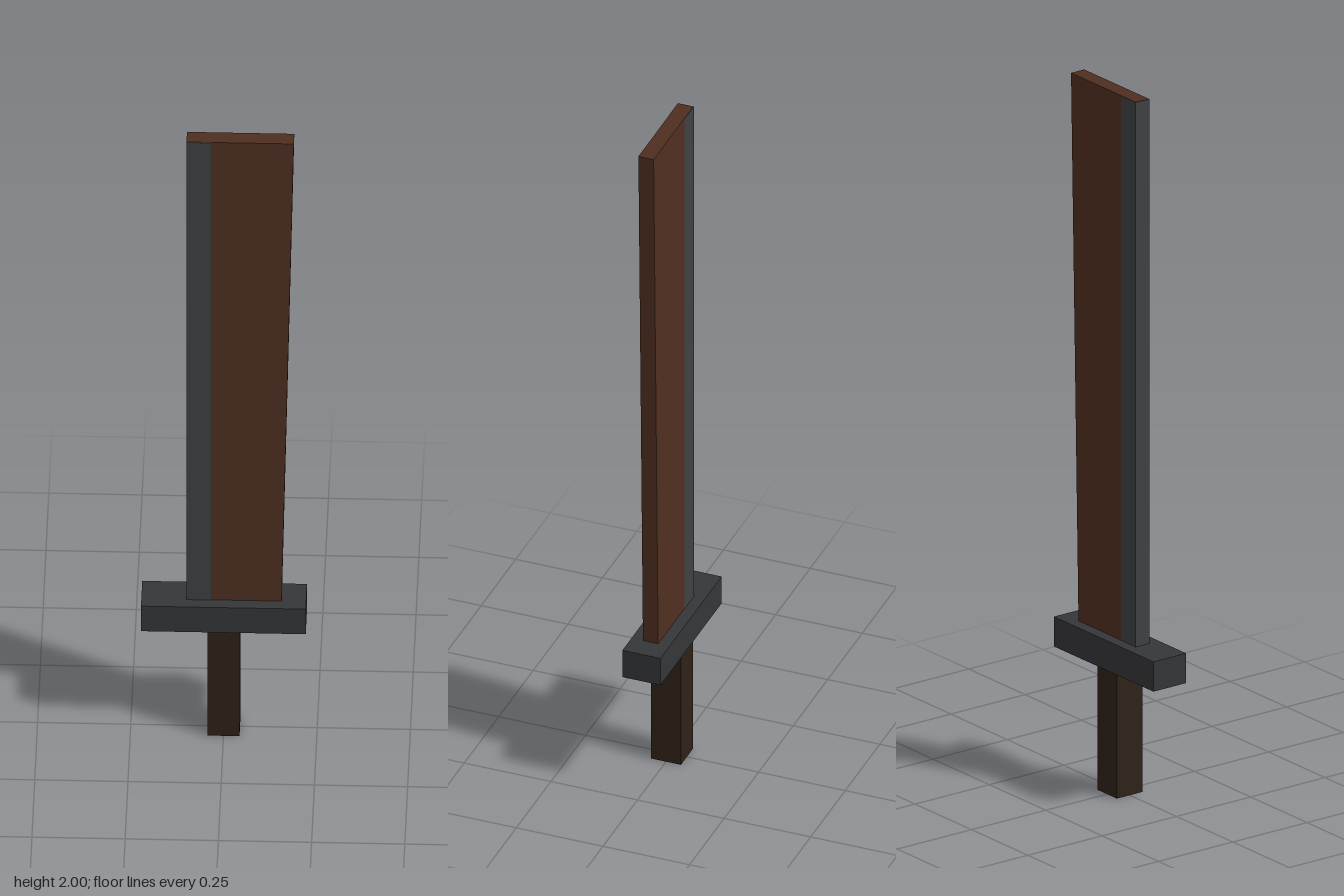
import * as THREE from 'three';

const material = (color) => new THREE.MeshStandardMaterial({ color, flatShading: true });

export function createModel() {
  const group = new THREE.Group();
  const add = (name, geometry, mat, x = 0, y = 0, z = 0) => {
    const mesh = new THREE.Mesh(geometry, mat);
    mesh.name = name;
    mesh.position.set(x, y, z);
    group.add(mesh);
  };
  const wood = material(0x4f2f20);
  const steel = material(0x3f4143);
  const darkSteel = material(0x353638);
  const gripWood = material(0x2e2218);

  // square grip and crossguard
  add('grip', new THREE.BoxGeometry(0.086, 0.36, 0.086), gripWood, 0, 0.18, 0);
  add('crossguard', new THREE.BoxGeometry(0.442, 0.085, 0.11), darkSteel, 0, 0.4025, 0);

  // flat blade, widening along its spine toward the square tip
  const outline = new THREE.Shape([
    new THREE.Vector2(-0.099, 0.44),
    new THREE.Vector2(0.155, 0.44),
    new THREE.Vector2(0.188, 2),
    new THREE.Vector2(-0.099, 2),
  ]);
  const depth = 0.044;
  const blade = new THREE.ExtrudeGeometry(outline, { depth, bevelEnabled: false });
  add('blade', blade, wood, 0, 0, -depth / 2);

  // thin metal strip wrapped around the straight edge, just short of the tip
  add('cuttingEdge', new THREE.BoxGeometry(0.066, 1.559, 0.046), steel, -0.067, 1.2195, 0);

  return group;
}
